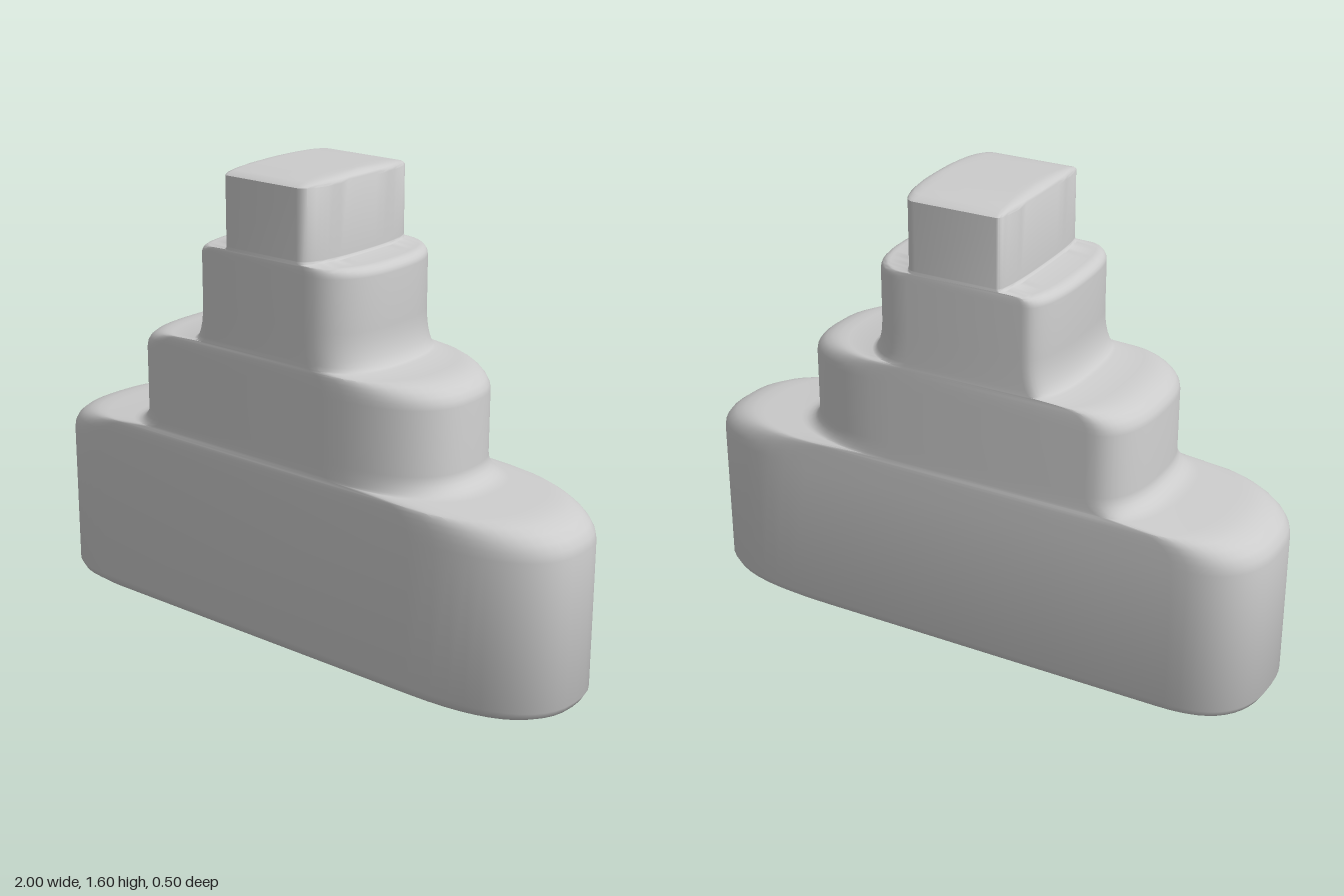
import * as THREE from 'three';
import { toCreasedNormals } from 'three/addons/utils/BufferGeometryUtils.js';

const DEPTH = 0.25;
const STEPS = 6;
const QUARTER = 12;

// Tiers from bottom to top. startL and startR are where the end roundings begin;
// edge is the [x, y] radius of the upper edge, fillet that of the foot.
const TIERS = [
  { foot: 0, top: 0.673, half: 1, startL: 0.75, startR: 0.55, edge: [0.18, 0.1], fillet: [0, 0] },
  { foot: 0.683, top: 1.02, half: 0.6, startL: 0.46, startR: 0.22, edge: [0.13, 0.07], fillet: [0.08, 0.06] },
  { foot: 1.024, top: 1.339, half: 0.32, startL: 0.24, startR: 0.15, edge: [0.04, 0.03], fillet: [0.045, 0.12] },
  { foot: 1.34, top: 1.595, half: 0.185, startL: 0.155, startR: 0.12, edge: [0.045, 0.025], fillet: [0.01, 0.01] },
];

// Calls fn with sine and cosine along a quarter turn
function quarterTurn(fn) {
  for (let i = 0; i <= STEPS; i++) {
    const a = (i / STEPS) * Math.PI / 2;
    fn(Math.sin(a), i === STEPS ? 0 : Math.cos(a));
  }
}

// Horizontal sections of the whole body, from the underside to the cap
function buildSections() {
  const sections = [];
  TIERS.forEach((tier, level) => {
    const { foot, top, half, edge, fillet } = tier;
    const add = (y, x, z) => sections.push({
      y, x, z, startL: tier.startL * x / half, startR: tier.startR * x / half,
    });
    if (level === 0) {
      // convex underside
      quarterTurn((s, c) => add(0.09 * (1 - c), 0.6 + 0.4 * s, DEPTH * s));
    } else {
      // concave foot
      quarterTurn((s, c) => add(foot + fillet[1] * (1 - c), half + fillet[0] * (1 - s), DEPTH));
    }
    // rounded upper edge; the last tier also closes in depth to form the domed cap
    const last = level === TIERS.length - 1;
    quarterTurn((s, c) => add(top - edge[1] * (1 - s), half - edge[0] * (1 - c), last ? DEPTH * c : DEPTH));
  });
  return sections;
}

const soften = v => Math.abs(v) < 1e-9 ? 0 : Math.sign(v) * Math.pow(Math.abs(v), 0.8);

// Closed outline of one section: four rounded quarters joined by straight sides
function outline({ y, x, z, startL, startR }) {
  const points = [];
  for (let q = 0; q < 4; q++) {
    const right = q === 0 || q === 3;
    const start = right ? startR : startL;
    for (let i = 0; i <= QUARTER; i++) {
      const t = (q + i / QUARTER) * Math.PI / 2;
      points.push((right ? start : -start) + (x - start) * soften(Math.cos(t)), y, z * soften(Math.sin(t)));
    }
  }
  return points;
}

// Skin over the stacked outlines
function loft(sections) {
  const index = [];
  const n = 4 * (QUARTER + 1);
  for (let r = 0; r < sections.length - 1; r++) {
    for (let j = 0; j < n; j++) {
      const a = r * n + j, b = r * n + (j + 1) % n;
      index.push(a, a + n, b, b, a + n, b + n);
    }
  }
  const geometry = new THREE.BufferGeometry();
  geometry.setAttribute('position', new THREE.Float32BufferAttribute(sections.flatMap(outline), 3));
  geometry.setIndex(index);
  return toCreasedNormals(geometry, 0.7);
}

export function createModel() {
  const group = new THREE.Group();
  group.name = 'steppedBlock';
  const body = new THREE.Mesh(loft(buildSections()), new THREE.MeshStandardMaterial({ color: 0xcccccc }));
  body.name = 'tieredBody';
  group.add(body);
  return group;
}
